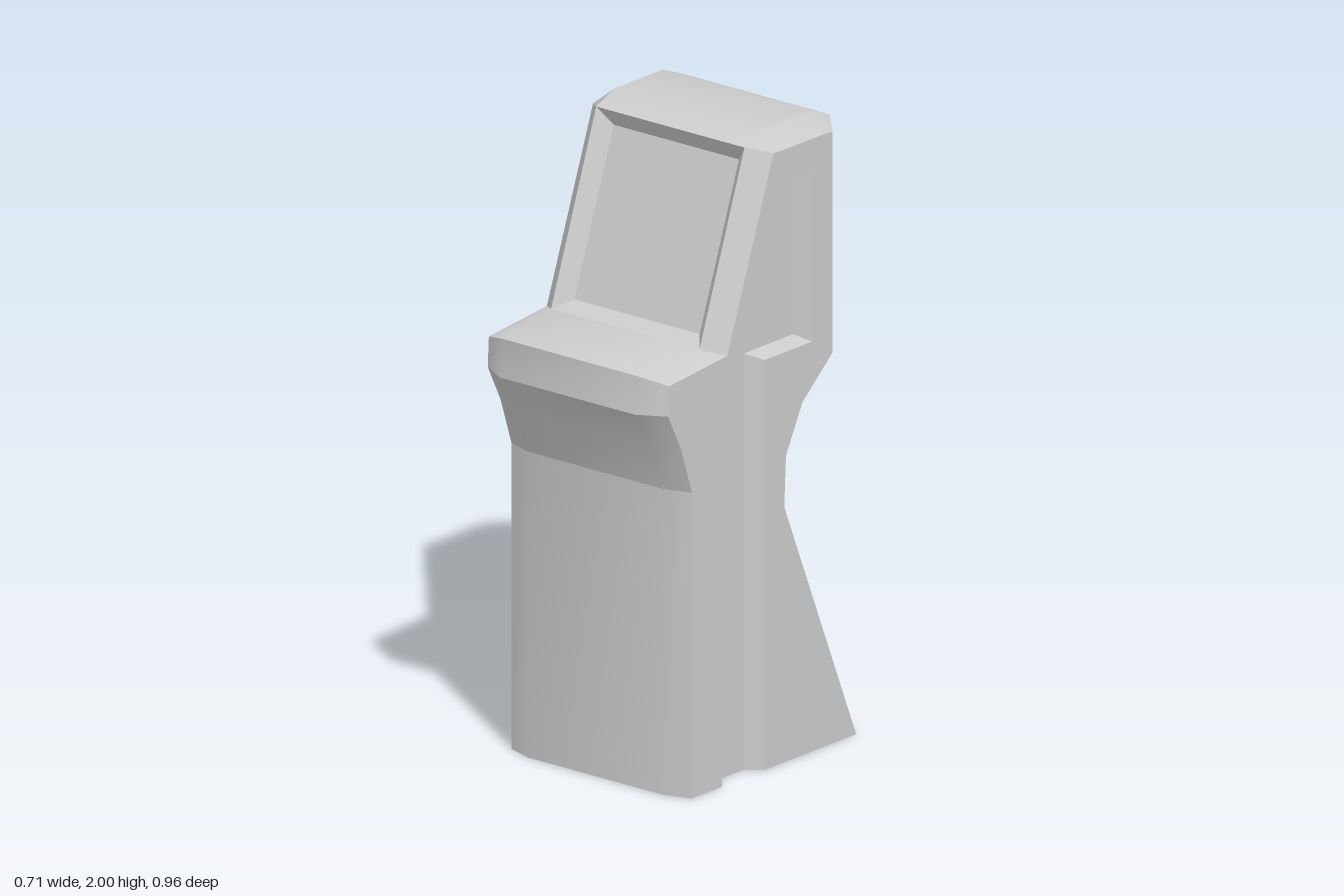
import * as THREE from 'three';
import { toCreasedNormals } from 'three/addons/utils/BufferGeometryUtils.js';

const SIDE_X = 0.353, RECESS = 0.05;
const material = new THREE.MeshStandardMaterial({ color: 0xcccccc, side: THREE.DoubleSide });

// Outline stations: [outer half width, outer z, outer y, side z, side y]
const stations = [
  [0.265, 0.35, 0, 0.32, 0],
  [0.265, 0.35, 0.97, 0.32, 0.97],
  [0.265, 0.41, 1.12, 0.37, 1.12],
  [0.265, 0.48, 1.24, 0.43, 1.24],
  [0.265, 0.47, 1.36, 0.425, 1.335],
  [0.29, 0.21, 1.38, 0.155, 1.36],
  [0.29, 0, 1.965, -0.06, 1.945],
  [0.29, -0.085, 2, -0.11, 1.943],
  [0.29, -0.31, 2, -0.29, 1.943],
  [0.29, -0.395, 1.965, -0.335, 1.94],
  [0.29, -0.39, 1.24, -0.335, 1.24],
  [0.29, -0.245, 1.12, -0.195, 1.12],
  [0.29, -0.153, 0.97, -0.118, 0.97],
  [0.29, -0.148, 0.81, -0.11, 0.81],
  [0.29, -0.48, 0, -0.445, 0],
];

// Side groove as [z, y]: edge on the side face, and edge of its floor
const grooveEdge = [[0.18, 0], [0.18, 1.12], [-0.1, 1.845], [-0.24, 1.845], [-0.24, 1.3], [-0.02, 1.3], [-0.02, 0]];
const grooveFloor = [[0.14, 0], [0.14, 1.12], [-0.133, 1.822], [-0.21, 1.822], [-0.21, 1.32], [0.02, 1.32], [0.02, 0]];

// Grid of quads between rows of [x, y, z] points; skip(column) leaves a gap
function skin(rows, skip = () => false, crease = 0.56) {
  const pos = [];
  for (let i = 0; i < rows.length - 1; i++) {
    for (let j = 0; j < rows[i].length - 1; j++) {
      if (skip(j)) continue;
      const a = rows[i][j], b = rows[i][j + 1], c = rows[i + 1][j + 1], d = rows[i + 1][j];
      pos.push(...a, ...b, ...c, ...a, ...c, ...d);
    }
  }
  const g = new THREE.BufferGeometry();
  g.setAttribute('position', new THREE.Float32BufferAttribute(pos, 3));
  return toCreasedNormals(g, crease);
}

// Flat face at a given x, facing +x, from [z, y] points
function sideFace(points, x) {
  const shape = new THREE.Shape(points.map(([z, y]) => new THREE.Vector2(-z, y)));
  return new THREE.ShapeGeometry(shape).rotateY(Math.PI / 2).translate(x, 0, 0);
}

function add(parent, name, geometry) {
  const mesh = new THREE.Mesh(geometry, material);
  mesh.name = name;
  parent.add(mesh);
}

export function createModel() {
  const group = new THREE.Group();
  group.name = 'arcadeCabinet';

  // Wrapped shell with chamfered edges, front to top to back
  const rows = stations.map(([w, z, y, sz, sy]) => [
    [-SIDE_X, sy, sz], [-w, y, z], [w, y, z], [SIDE_X, sy, sz],
  ]);
  const sections = {
    lowerFront: [0, 1], frontFlare: [1, 3], deckLip: [3, 4], controlDeck: [4, 5],
    screenSurround: [5, 6], topCap: [6, 9], upperBack: [9, 10], lowerBack: [10, 14],
  };
  for (const [name, [from, to]] of Object.entries(sections)) {
    const skip = name === 'screenSurround' ? (j) => j === 1 : undefined;
    add(group, name, skin(rows.slice(from, to + 1), skip));
  }

  // Sunken screen: sloped bezel and panel
  const rim = [[-0.29, 1.38, 0.21], [0.29, 1.38, 0.21], [0.29, 1.965, 0], [-0.29, 1.965, 0]];
  const panel = [[-0.245, 1.405, 0.155], [0.245, 1.405, 0.155], [0.245, 1.91, -0.028], [-0.245, 1.91, -0.028]];
  add(group, 'screenBezel', skin([[...rim, rim[0]], [...panel, panel[0]]], undefined, 0.2));
  add(group, 'screen', skin([[panel[0], panel[1]], [panel[3], panel[2]]]));

  // Side panels with a recessed groove that widens into a window shape
  const outline = stations.map((s) => [s[3], s[4]]);
  const panelOutline = [...outline, ...[...grooveEdge].reverse()];
  const at = (points, x) => points.map(([z, y]) => [x, y, z]);
  for (const side of [1, -1]) {
    const half = new THREE.Group();
    half.name = side > 0 ? 'leftSide' : 'rightSide';
    add(half, 'sidePanel', sideFace(panelOutline, SIDE_X));
    add(half, 'grooveWalls', skin([at(grooveFloor, SIDE_X - RECESS), at(grooveEdge, SIDE_X)], undefined, 0.2));
    add(half, 'grooveFloor', sideFace(grooveFloor, SIDE_X - RECESS));
    half.scale.x = side;
    group.add(half);
  }
  return group;
}
